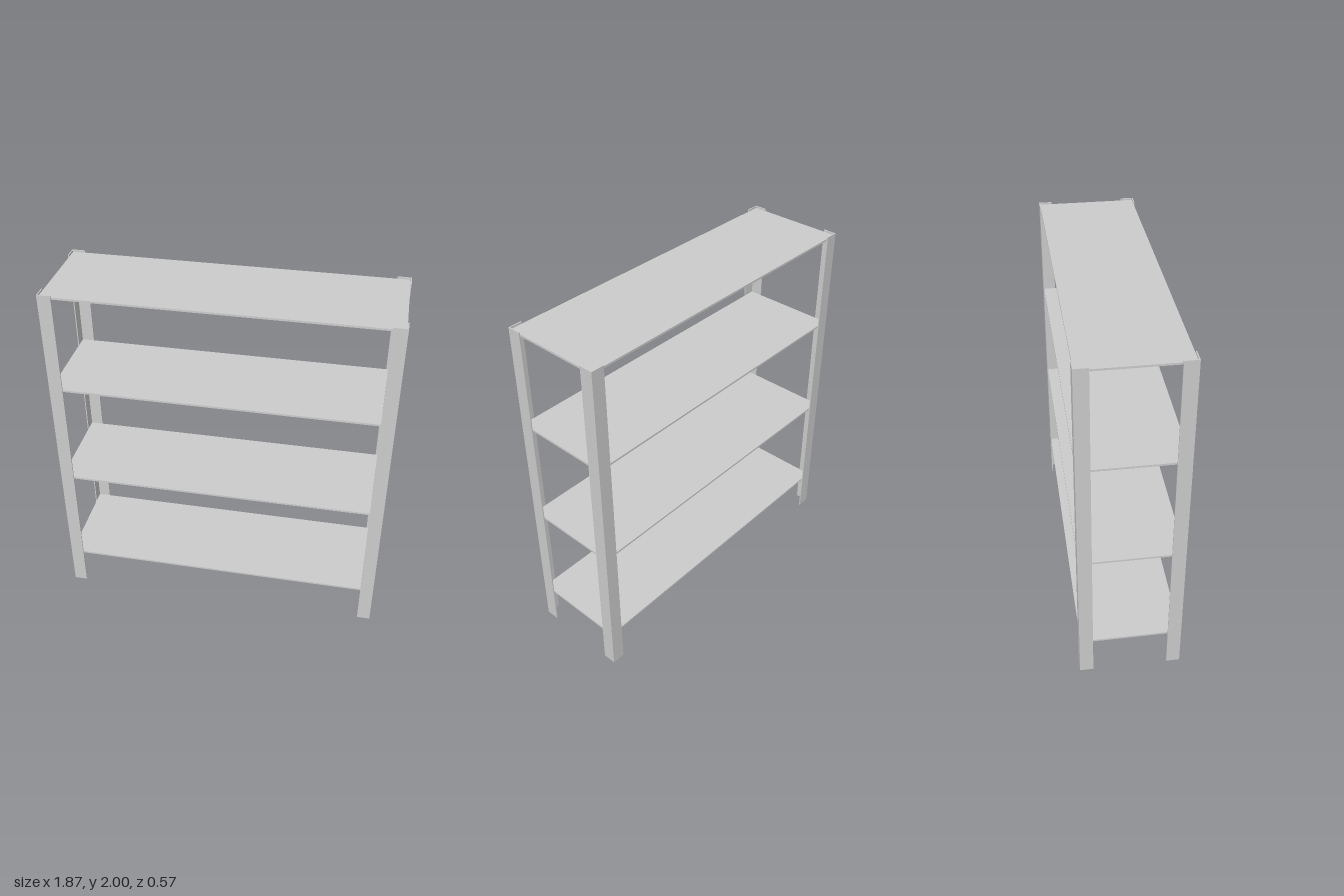
import * as THREE from 'three';

const HALF_W = 0.935, HALF_D = 0.283, HEIGHT = 2;
const FLANGE = 0.075, GAUGE = 0.006, SHELF_T = 0.011;

export function createModel() {
  const group = new THREE.Group();
  group.name = 'shelvingUnit';
  const material = new THREE.MeshStandardMaterial({ color: 0xcccccc });

  // Angle-iron post: equal-legged L section extruded upright, legs along +x and -z
  const section = new THREE.Shape([
    [0, 0], [FLANGE, 0], [FLANGE, GAUGE], [GAUGE, GAUGE], [GAUGE, FLANGE], [0, FLANGE],
  ].map(([x, y]) => new THREE.Vector2(x, y)));
  const postGeometry = new THREE.ExtrudeGeometry(section, { depth: HEIGHT, bevelEnabled: false });
  postGeometry.rotateX(-Math.PI / 2);

  // Four posts, each a quarter turn on from the last so the legs face inward
  [
    ['frontRightPost', -1, 1],
    ['frontLeftPost', 1, 1],
    ['backLeftPost', 1, -1],
    ['backRightPost', -1, -1],
  ].forEach(([name, sx, sz], i) => {
    const post = new THREE.Mesh(postGeometry, material);
    post.name = name;
    post.position.set(sx * HALF_W, 0, sz * HALF_D);
    post.rotation.y = i * Math.PI / 2;
    group.add(post);
  });

  // Thin shelves fitted inside the posts
  const shelfGeometry = new THREE.BoxGeometry(2 * (HALF_W - GAUGE), SHELF_T, 2 * (HALF_D - GAUGE));
  [0.23, 0.82, 1.425, 1.984].forEach((y, i) => {
    const shelf = new THREE.Mesh(shelfGeometry, material);
    shelf.name = `shelf${i + 1}`;
    shelf.position.y = y;
    group.add(shelf);
  });

  return group;
}
